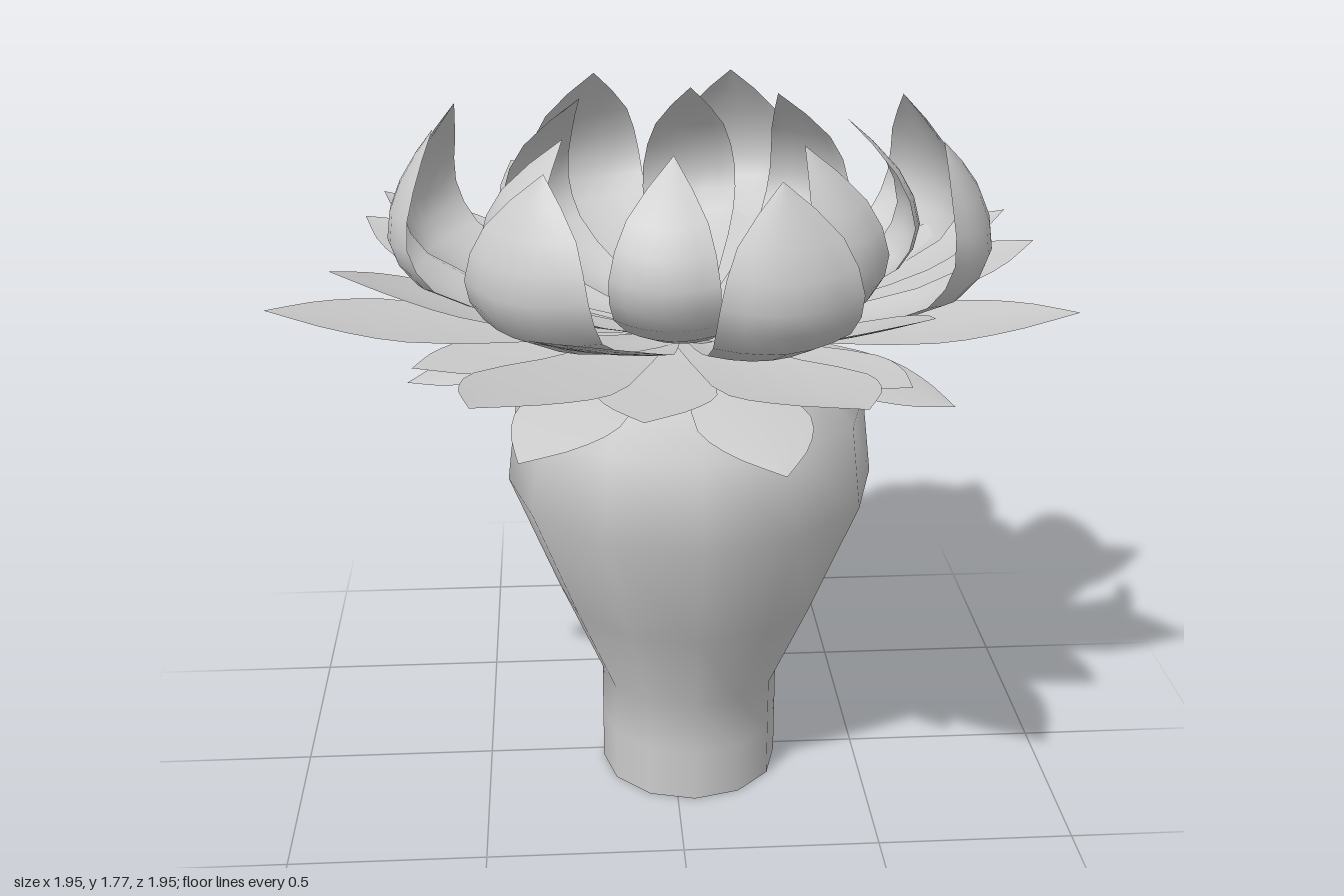
import * as THREE from 'three';

const material = new THREE.MeshStandardMaterial({ color: 0xcccccc, side: THREE.DoubleSide });
const ROWS = 10, COLS = 6;

// Petal along +x: stations hold radius, height and half width; cup lifts the edges, cupIn draws them inward.
function petalGeometry(stations, cup, cupIn) {
  const curve = new THREE.CatmullRomCurve3(stations, false, 'centripetal');
  const positions = [], index = [];
  for (let i = 0; i <= ROWS; i++) {
    const p = curve.getPoint(i / ROWS);
    for (let j = 0; j <= COLS; j++) {
      const s = (j / COLS) * 2 - 1;
      const bend = s * s * Math.max(p.z, 0);
      positions.push(p.x - bend * cupIn, p.y + bend * cup, -s * p.z);
      if (i < ROWS && j < COLS) {
        const a = i * (COLS + 1) + j, b = a + COLS + 1;
        index.push(a, b, a + 1, b, b + 1, a + 1);
      }
    }
  }
  const geometry = new THREE.BufferGeometry();
  geometry.setAttribute('position', new THREE.Float32BufferAttribute(positions, 3));
  geometry.setIndex(index);
  geometry.computeVertexNormals();
  return geometry;
}

// Upright petal: runs outward, turns up and curls its tip back toward the centre
function uprightPetal(radius, width, curl) {
  const reach = [0.2, 0.6, 0.92, 1, 1, 1];
  const heights = [1.25, 1.315, 1.405, 1.51, 1.64, 1.77];
  const widths = [0.33, 0.67, 0.97, 1, 0.73, 0];
  const stations = reach.map((f, i) => new THREE.Vector3(
    radius * f - curl * Math.max(0, (i - 3) / 2) ** 1.8, heights[i], width * widths[i]));
  return petalGeometry(stations, 0.1, 0.25);
}

// Spreading petal: a pointed leaf that rises or droops toward its tip
function spreadingPetal(radius, width, start, rise) {
  const widths = [0.32, 0.66, 1, 0.68, 0];
  const reach = [0, 0.31, 0.65, 0.83, 1];
  const stations = reach.map((t, i) => new THREE.Vector3(
    0.12 + (radius - 0.12) * t, start + rise * t ** 1.5, width * widths[i]));
  return petalGeometry(stations, 0.4 * rise, 0);
}

// Seven evenly spaced directions in degrees
const sevenFrom = first => Array.from({ length: 7 }, (_, i) => first + (i * 360) / 7);

function petalRing(name, geometry, angles, x, z) {
  const ring = new THREE.Group();
  ring.name = name + 'Ring';
  ring.position.set(x, 0, z);
  for (const angle of angles) {
    const petal = new THREE.Mesh(geometry, material);
    petal.name = name;
    petal.rotation.y = THREE.MathUtils.degToRad(angle);
    ring.add(petal);
  }
  return ring;
}

export function createModel() {
  const model = new THREE.Group();

  // Vase with a straight foot and a swelling shoulder
  const profile = [
    [0.235, 0], [0.235, 0.14], [0.235, 0.28], [0.345, 0.53], [0.47, 0.84],
    [0.445, 1.05], [0.33, 1.18], [0.17, 1.24], [0, 1.245]
  ].map(p => new THREE.Vector2(...p));
  const vase = new THREE.Mesh(new THREE.LatheGeometry(profile, 12), material);
  vase.name = 'vase';
  vase.position.set(0.045, 0, 0.035);
  model.add(vase);

  // Flat underside of the foot
  const base = new THREE.Mesh(new THREE.CircleGeometry(0.235, 12), material);
  base.name = 'vaseBase';
  base.rotation.x = Math.PI / 2;
  base.position.copy(vase.position);
  model.add(base);

  // Centre of the flower
  const heart = new THREE.Mesh(new THREE.CylinderGeometry(0.15, 0.15, 0.015, 10), material);
  heart.name = 'flowerCentre';
  heart.position.set(0.055, 1.25, 0.03);
  model.add(heart);

  // Petal rings from the inside out; some are unevenly spread
  model.add(
    petalRing('innerPetal', uprightPetal(0.56, 0.125, 0.19), [0, 50, 87, 137, 211, 259, 309], 0.05, 0.03),
    petalRing('uprightPetal', uprightPetal(0.74, 0.165, 0.12), [25, 76, 111, 159, 186, 235, 284, 335], 0.045, 0.035),
    petalRing('raisedPetal', spreadingPetal(0.87, 0.155, 1.25, 0.235), [10, 60, 119, 150, 199, 250, 306], 0.01, 0.01),
    petalRing('longPetal', spreadingPetal(1.005, 0.17, 1.245, 0.13), [14, 57, 93, 144, 193, 242, 290, 339], 0, 0.01),
    petalRing('flatPetal', spreadingPetal(0.74, 0.14, 1.24, 0.03), sevenFrom(3), 0.02, 0.01),
    petalRing('droopingPetal', spreadingPetal(0.7, 0.14, 1.235, -0.12), sevenFrom(28), 0.03, 0.02)
  );
  return model;
}
